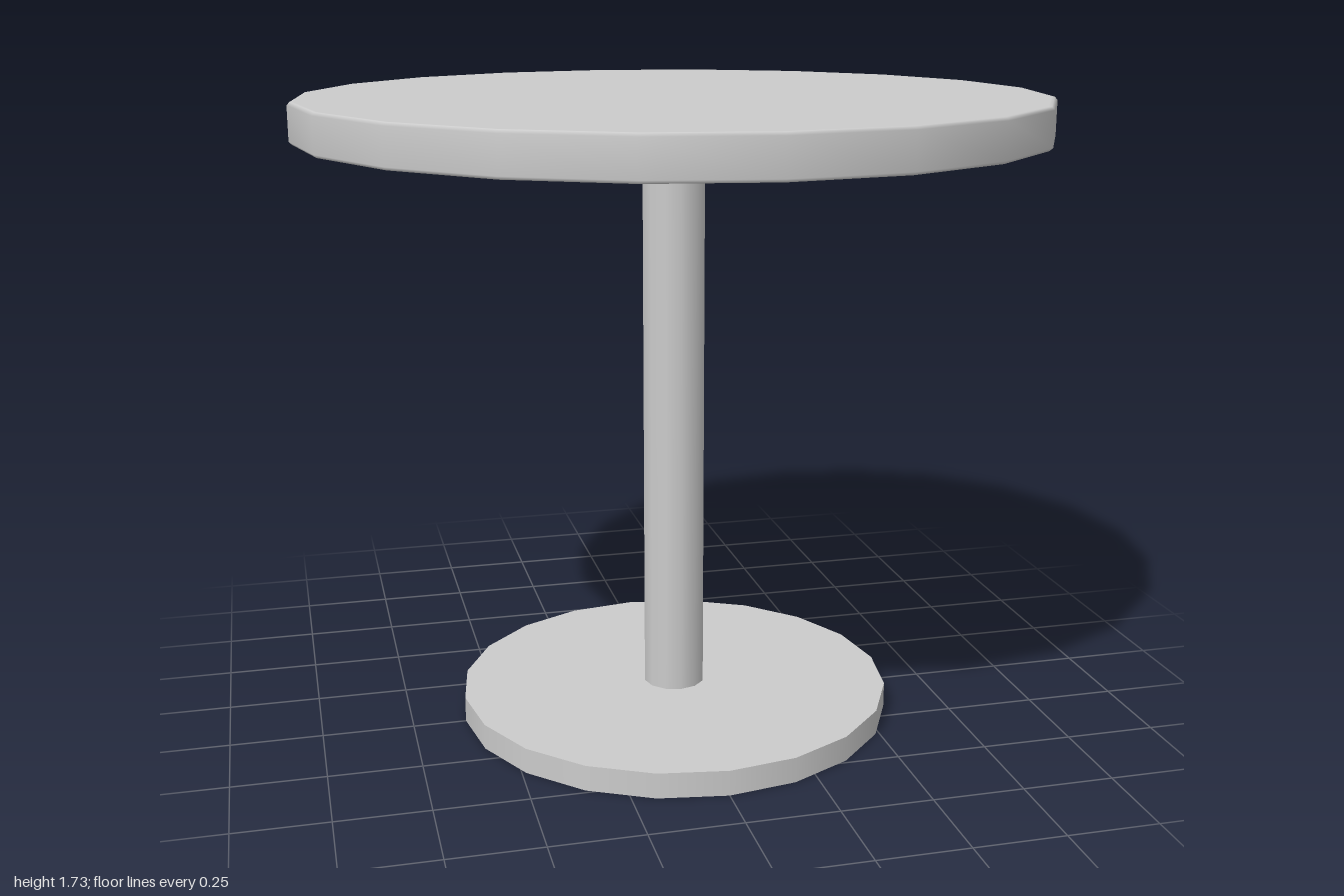
import * as THREE from 'three';

const material = new THREE.MeshStandardMaterial({ color: 0xcccccc });

// Upright disc or post spanning y0 to y1
function post(name, radius, y0, y1, sides) {
  const geometry = new THREE.CylinderGeometry(radius, radius, y1 - y0, sides);
  geometry.translate(0, (y0 + y1) / 2, 0);
  const mesh = new THREE.Mesh(geometry, material);
  mesh.name = name;
  return mesh;
}

// Round top with finely eased upper and lower edges
function tabletop(radius, y0, y1, ease) {
  const profile = [
    [0, y0], [radius - ease * 2, y0], [radius - ease, y0],
    [radius, y0 + ease], [radius, y1 - ease],
    [radius - ease, y1], [radius - ease * 2, y1], [0, y1],
  ].map(([x, y]) => new THREE.Vector2(x, y));
  const mesh = new THREE.Mesh(new THREE.LatheGeometry(profile, 20), material);
  mesh.name = 'tabletop';
  return mesh;
}

export function createModel() {
  const table = new THREE.Group();
  table.name = 'pedestalTable';
  table.add(
    post('base', 0.604, 0, 0.07, 20),
    post('column', 0.086, 0.07, 1.56, 12),
    post('collar', 0.13, 1.56, 1.625, 12),
    tabletop(1, 1.625, 1.732, 0.008),
  );
  return table;
}
